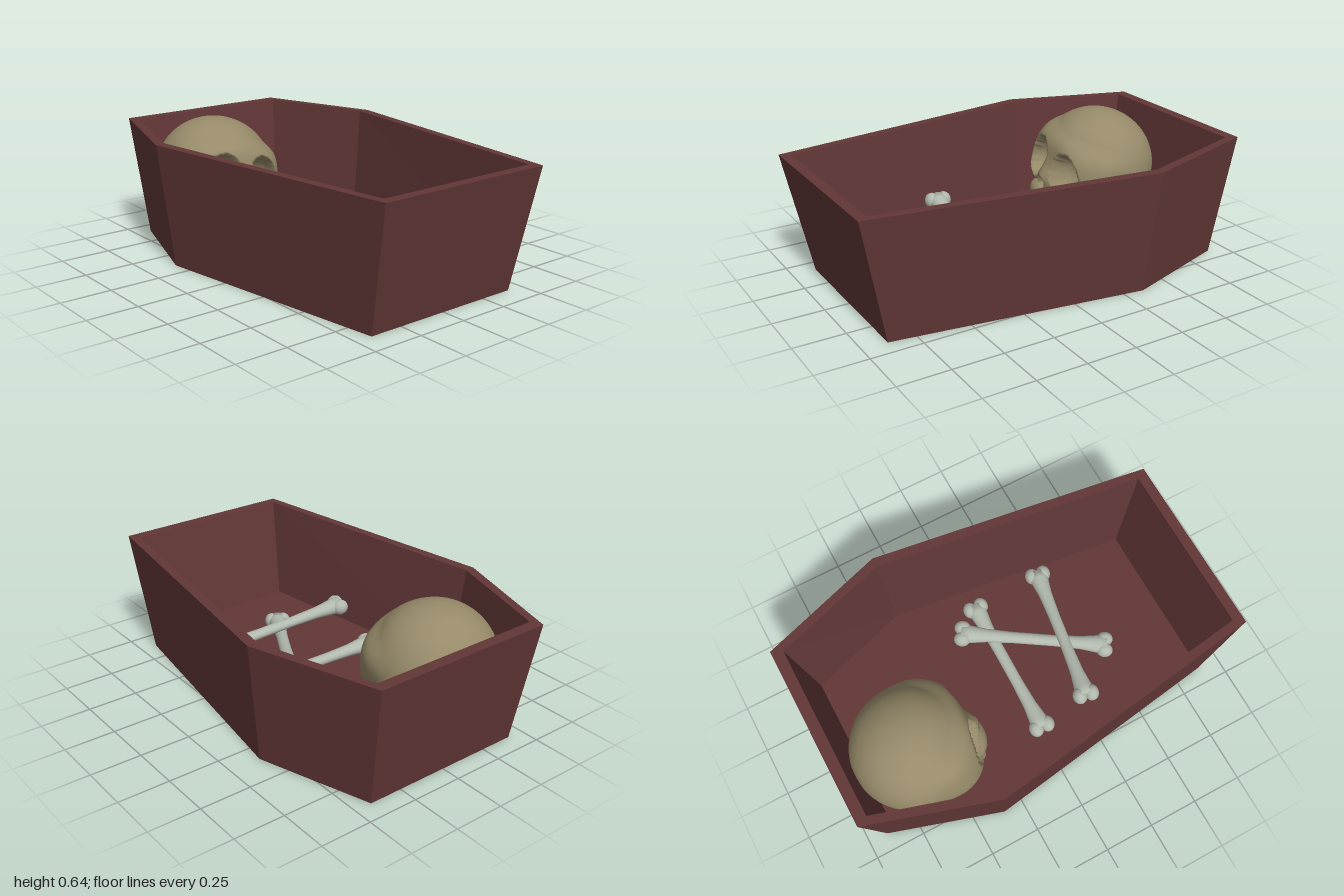
import * as THREE from 'three';
import { mergeVertices } from 'three/addons/utils/BufferGeometryUtils.js';

const mat = (name, color) => {
  const m = new THREE.MeshStandardMaterial({ color });
  m.name = name;
  return m;
};

function addMesh(parent, name, geometry, material, x = 0, y = 0, z = 0) {
  const mesh = new THREE.Mesh(geometry, material);
  mesh.name = name;
  mesh.position.set(x, y, z);
  parent.add(mesh);
  return mesh;
}

// Six-sided ring: back and front half widths, shoulder half width, and their z
const hexRing = (y, xb, zb, xs, zs, xf, zf) =>
  [[-xb, zb], [xb, zb], [xs, zs], [xf, zf], [-xf, zf], [-xs, zs]].map(([x, z]) => [x, y, z]);

// Open coffin: outer wall, rim, inner wall, floor and underside
function coffinGeometry() {
  const rings = [
    hexRing(0, 0.415, -0.905, 0.595, -0.35, 0.415, 0.88),
    hexRing(0.605, 0.46, -1, 0.66, -0.38, 0.46, 1),
    hexRing(0.605, 0.435, -0.945, 0.61, -0.385, 0.425, 0.95),
    hexRing(0.1, 0.392, -0.865, 0.553, -0.36, 0.388, 0.855),
  ];
  const pos = [];
  const tri = (a, b, c) => pos.push(...a, ...b, ...c);
  for (let r = 0; r < 3; r++) {
    for (let i = 0; i < 6; i++) {
      const j = (i + 1) % 6, a = rings[r], b = rings[r + 1];
      tri(a[i], b[i], b[j]);
      tri(a[i], b[j], a[j]);
    }
  }
  for (let i = 1; i < 5; i++) {
    tri(rings[0][0], rings[0][i], rings[0][i + 1]);
    tri(rings[3][0], rings[3][i + 1], rings[3][i]);
  }
  const g = new THREE.BufferGeometry();
  g.setAttribute('position', new THREE.Float32BufferAttribute(pos, 3));
  g.computeVertexNormals();
  return g;
}

// Round cranium that turns boxy toward the face, with hollow sockets and nose
function craniumGeometry() {
  const ss = THREE.MathUtils.smoothstep;
  let g = new THREE.SphereGeometry(1, 160, 112);
  g.deleteAttribute('uv');
  g.deleteAttribute('normal');
  g = mergeVertices(g, 1e-5);
  const p = g.attributes.position;
  for (let i = 0; i < p.count; i++) {
    let x = p.getX(i), y = p.getY(i), z = p.getZ(i);
    const n = 2 + 1.6 * ss(z, -0.2, 0.6) * (1 - ss(y, -0.1, 0.6));
    const r = Math.pow(
      Math.pow(Math.abs(x) / 0.3, n) + Math.pow(Math.abs(y) / 0.28, n) + Math.pow(Math.abs(z) / 0.295, n), -1 / n);
    x *= r; y *= r; z *= r;
    if (y < 0) y *= 0.85;
    x *= 1 - 0.3 * ss(-y, 0.12, 0.25);
    x *= 1 - 0.1 * ss(z, 0.1, 0.3);
    if (z > 0) {
      const ax = Math.abs(x);
      z += 0.04 * Math.exp(-((x / 0.05) ** 2) - ((y + 0.11) / 0.08) ** 2);
      const ey = y + 0.03 + 0.25 * (ax - 0.125);
      const q = ((ax - 0.127) / 0.092) ** 2 + (ey / 0.11) ** 2;
      if (q < 1) z -= 0.13 * Math.sqrt(1 - q);
      const nose = (x / 0.028) ** 2 + ((y + 0.12) / 0.03) ** 2;
      if (nose < 1) z -= 0.05 * Math.sqrt(1 - nose);
    }
    p.setXYZ(i, x, y, z);
  }
  g.computeVertexNormals();
  return g;
}

function makeSkull(material) {
  const skull = new THREE.Group();
  skull.name = 'skull';
  addMesh(skull, 'cranium', craniumGeometry(), material);
  addMesh(skull, 'upperJaw', new THREE.SphereGeometry(1, 32, 20), material, 0, -0.19, 0.225).scale.set(0.14, 0.07, 0.105);
  // Blunt teeth along the curve of the jaw
  const tooth = new THREE.CapsuleGeometry(0.03, 0.05, 6, 14);
  for (let i = 0; i < 5; i++) {
    const a = (i - 2) * 0.48;
    addMesh(skull, 'tooth', tooth, material, 0.115 * Math.sin(a), -0.215, 0.2 + 0.09 * Math.cos(a));
  }
  skull.position.set(-0.185, 0.36, -0.62);
  skull.rotation.set(-0.15, 0, -0.2);
  return skull;
}

// Bone lying between two points, with a pair of knobs at each end
function makeBone(from, to, material) {
  const bone = new THREE.Group();
  bone.name = 'bone';
  const a = new THREE.Vector3(...from), b = new THREE.Vector3(...to);
  const h = a.distanceTo(b) / 2;
  const profile = [[0, -h + 0.02], [0.05, -h + 0.03], [0.046, -h + 0.07], [0.034, -h + 0.16], [0.029, -0.1],
    [0.029, 0.1], [0.034, h - 0.16], [0.046, h - 0.07], [0.05, h - 0.03], [0, h - 0.02]];
  const shaft = new THREE.LatheGeometry(profile.map(([x, y]) => new THREE.Vector2(x, y)), 20);
  addMesh(bone, 'shaft', shaft, material).scale.z = 0.85;
  const knob = new THREE.SphereGeometry(0.036, 18, 12);
  for (const end of [-1, 1]) {
    for (const side of [-1, 1]) {
      addMesh(bone, 'knob', knob, material, side * 0.03, end * (h - 0.036), 0).scale.set(1, 1.15, 1.1);
    }
  }
  // Length runs along local y; the knobs spread sideways on the floor
  const along = b.clone().sub(a).normalize();
  const across = new THREE.Vector3().crossVectors(along, new THREE.Vector3(0, 1, 0)).normalize();
  const up = new THREE.Vector3().crossVectors(across, along);
  bone.quaternion.setFromRotationMatrix(new THREE.Matrix4().makeBasis(across, along, up));
  bone.position.copy(a).add(b).multiplyScalar(0.5);
  return bone;
}

export function createModel() {
  const wood = mat('dark red wood', 0x623737);
  const oldBone = mat('aged bone', 0x968a69);
  const paleBone = mat('pale bone', 0xb2b9ae);

  const model = new THREE.Group();
  model.name = 'coffinWithBones';
  addMesh(model, 'coffin', coffinGeometry(), wood);
  model.add(makeSkull(oldBone));
  model.add(makeBone([-0.37, 0.14, 0], [0.415, 0.14, 0.01], paleBone));
  model.add(makeBone([0.27, 0.24, -0.16], [-0.13, 0.14, 0.52], paleBone));
  model.add(makeBone([-0.36, 0.27, 0.24], [0.415, 0.16, 0.38], paleBone));
  return model;
}
